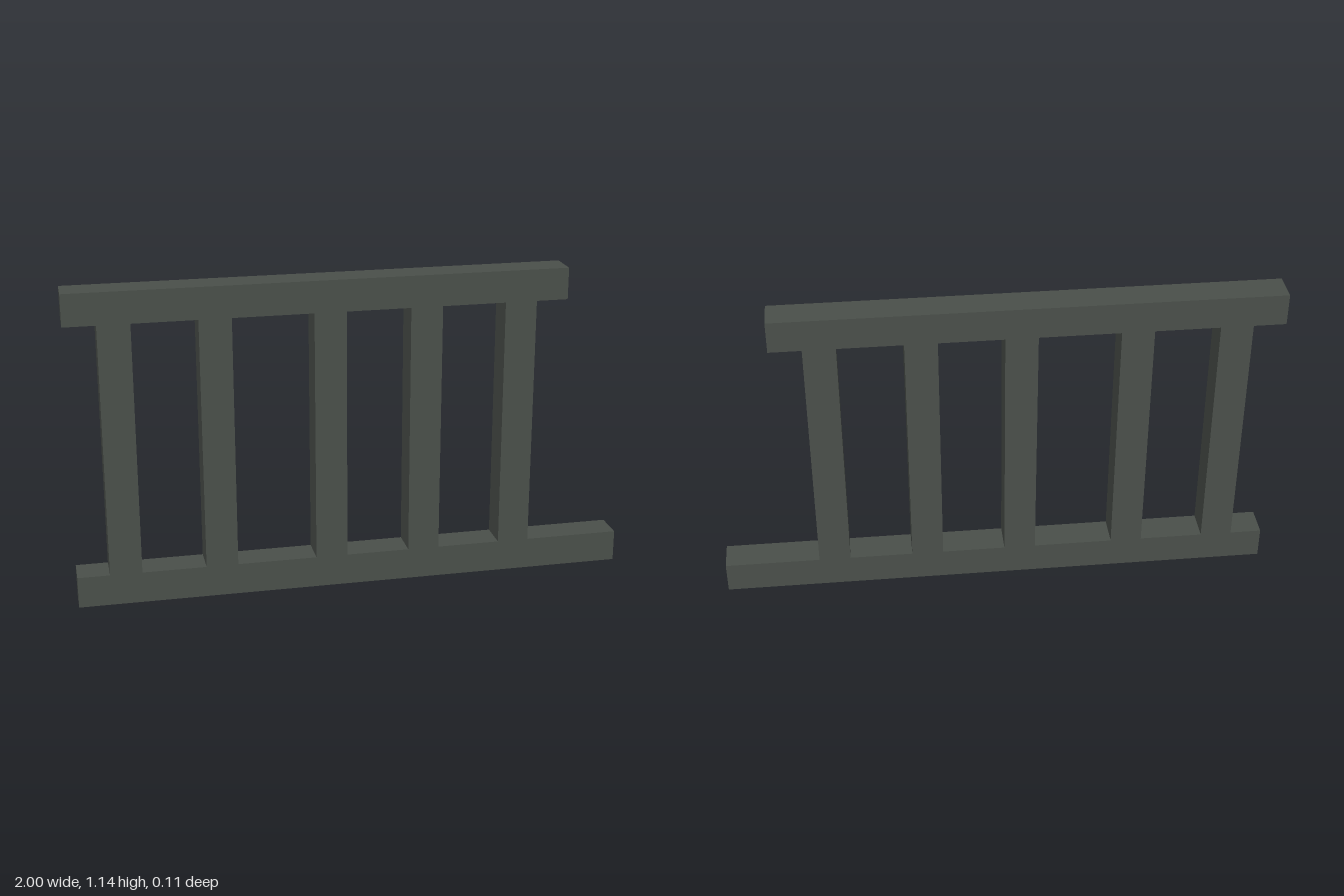
import * as THREE from 'three';

// The whole fence sits on a grid of one bar thickness.
const U = 2 / 17.5;

export function createModel() {
  const group = new THREE.Group();
  group.name = 'fence';
  const darkIron = new THREE.MeshStandardMaterial({ color: 0x4a4f4a });
  darkIron.name = 'darkIron';

  // Square bar given by its left, bottom, width and height in grid units
  function addBar(name, left, bottom, width, height) {
    const mesh = new THREE.Mesh(new THREE.BoxGeometry(width * U, height * U, U), darkIron);
    mesh.name = name;
    mesh.position.set(-1 + (left + width / 2) * U, (bottom + height / 2) * U, 0);
    group.add(mesh);
  }

  // Rails: the lower one runs past the upper one on the left
  addBar('bottomRail', 0, 0, 17.5, 1);
  addBar('topRail', 0, 9, 15.5, 1);

  // Uprights, unevenly spaced between the rails
  [1, 4, 7.5, 10.5, 13.5].forEach((left, i) => addBar(`upright${i + 1}`, left, 1, 1, 8));

  return group;
}
